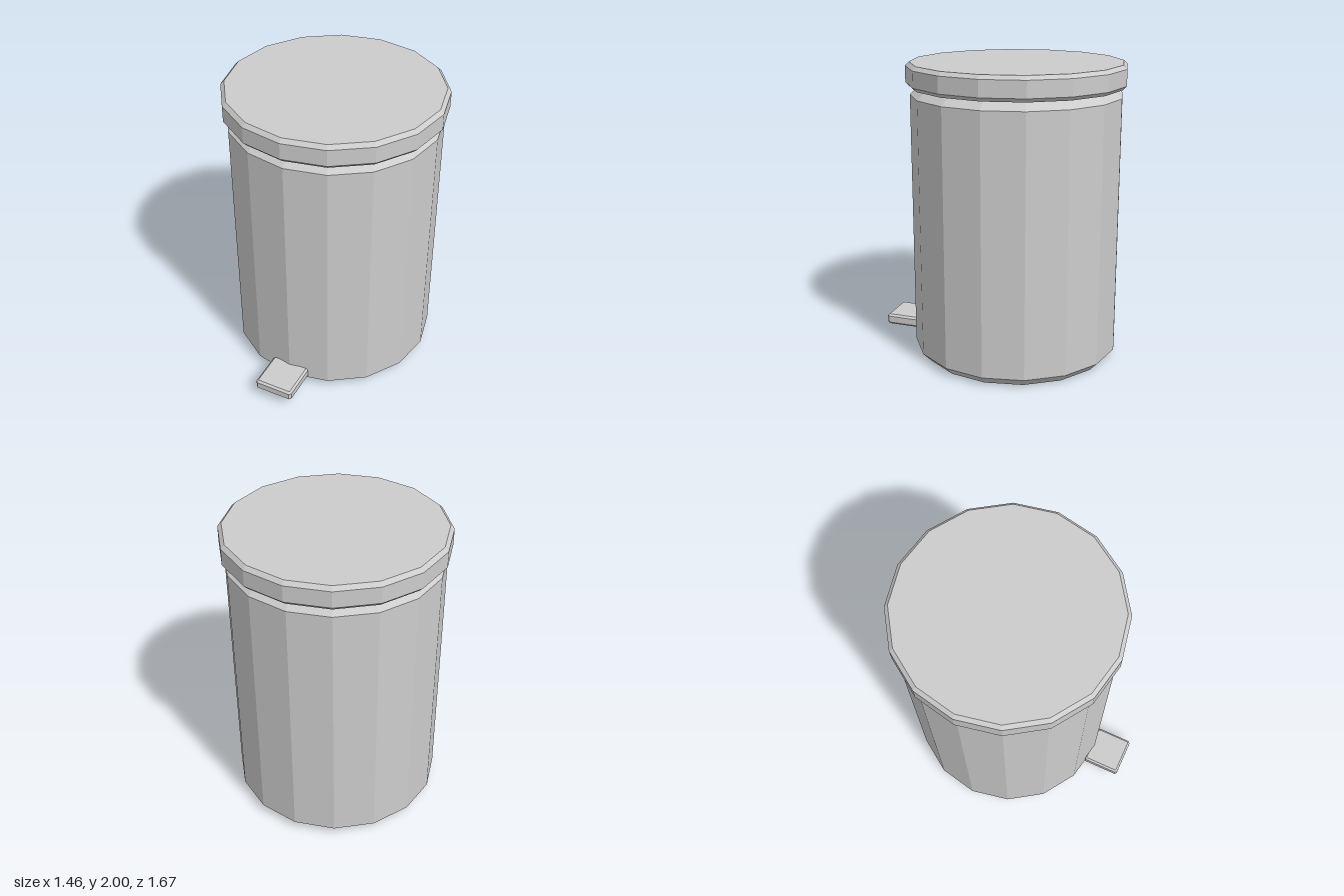
import * as THREE from 'three';

const SIDES = 16;
const AXIS_Z = -0.105;

// Bake one normal per face for the low-poly look
function faceted(geometry) {
  const g = geometry.index ? geometry.toNonIndexed() : geometry;
  g.computeVertexNormals();
  return g;
}

// Sixteen-sided turned part from [radius, height] points, bottom to top
function turned(name, profile, material) {
  const points = profile.map(([r, y]) => new THREE.Vector2(r, y));
  const mesh = new THREE.Mesh(faceted(new THREE.LatheGeometry(points, SIDES)), material);
  mesh.name = name;
  mesh.position.z = AXIS_Z;
  return mesh;
}

// Box with every edge chamfered by b, given by its extents
function chamferedBox(name, w, y0, y1, z0, z1, b, material) {
  const x = w / 2 - b, z = (z1 - z0) / 2 - b, c = b * 0.4;
  const shape = new THREE.Shape([
    [x, -z + c], [x, z - c], [x - c, z], [-x + c, z],
    [-x, z - c], [-x, -z + c], [-x + c, -z], [x - c, -z],
  ].map(([px, py]) => new THREE.Vector2(px, py)));
  const g = new THREE.ExtrudeGeometry(shape, {
    depth: y1 - y0 - 2 * b, bevelEnabled: true, bevelThickness: b, bevelSize: b, bevelSegments: 1,
  });
  g.rotateX(-Math.PI / 2);
  g.translate(0, y0 + b, (z0 + z1) / 2);
  const mesh = new THREE.Mesh(faceted(g), material);
  mesh.name = name;
  return mesh;
}

export function createModel() {
  const group = new THREE.Group();
  group.name = 'pedalBin';
  const grey = new THREE.MeshStandardMaterial({ color: 0xcccccc });
  grey.name = 'light grey';

  // Bucket with chamfered foot and shoulder
  group.add(turned('bucket', [
    [0, 0], [0.648, 0], [0.703, 0.058], [0.703, 1.787], [0.637, 1.846], [0, 1.846],
  ], grey));

  // Overhanging lid with chamfered rims
  group.add(turned('lid', [
    [0, 1.842], [0.705, 1.842], [0.73, 1.867], [0.73, 1.975], [0.705, 2], [0, 2],
  ], grey));

  // Foot pedal
  group.add(chamferedBox('pedal', 0.27, 0.073, 0.147, 0.568, 0.835, 0.014, grey));

  return group;
}
